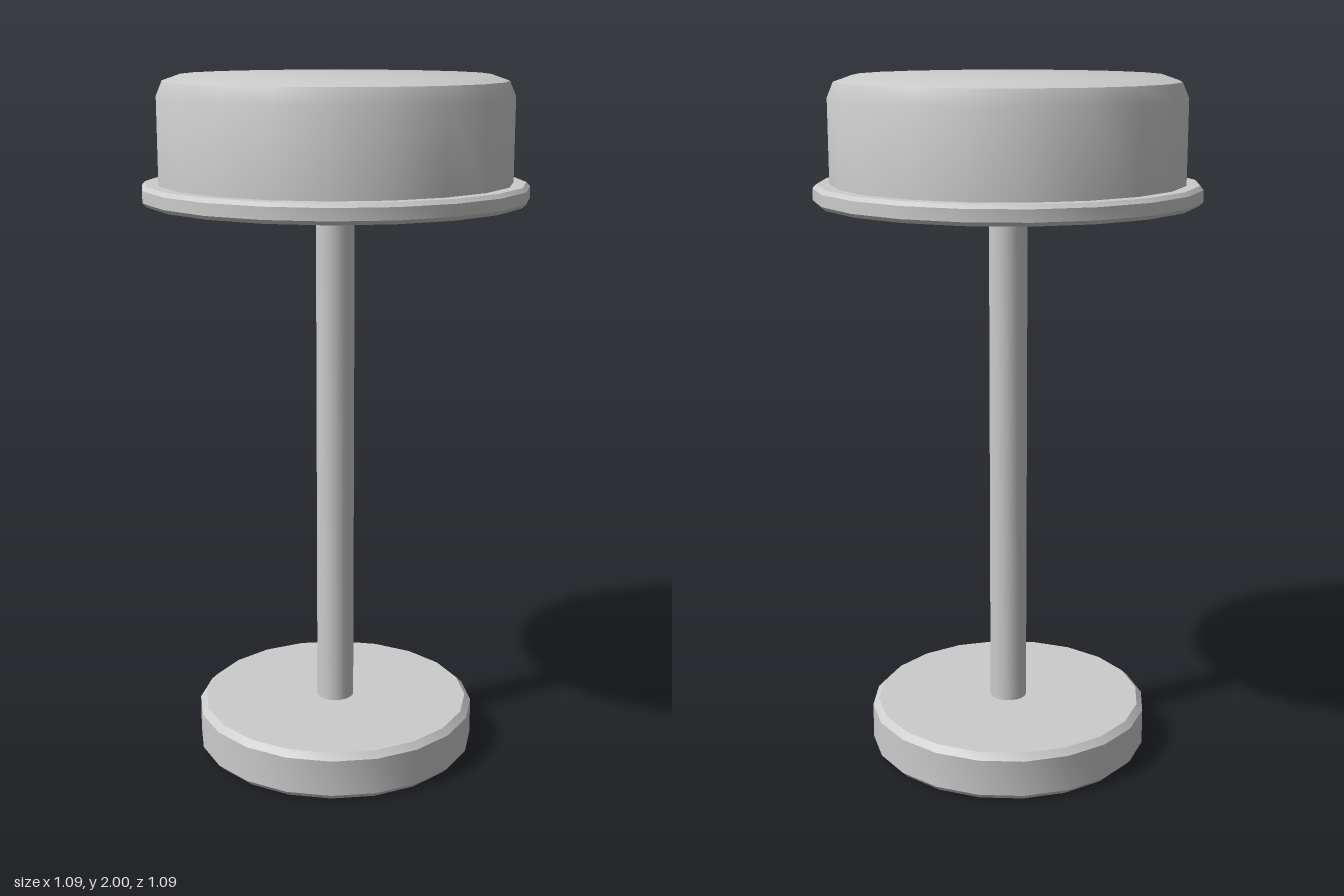
import * as THREE from 'three';
import { toCreasedNormals } from 'three/addons/utils/BufferGeometryUtils.js';

const SIDES = 20;

export function createModel() {
  const stool = new THREE.Group();
  stool.name = 'stool';
  const material = new THREE.MeshStandardMaterial({ color: 0xcccccc });

  // Turned part from a [radius, height] profile, listed bottom to top
  function turned(name, profile) {
    const points = profile.map(([r, y]) => new THREE.Vector2(r, y));
    const geometry = toCreasedNormals(new THREE.LatheGeometry(points, SIDES), Math.PI / 6);
    const mesh = new THREE.Mesh(geometry, material);
    mesh.name = name;
    stool.add(mesh);
  }

  // Disc with small bevels on both rims
  function bevelledDisc(name, radius, bottom, top, bevel) {
    turned(name, [
      [0, bottom], [radius - bevel, bottom], [radius, bottom + bevel],
      [radius, top - bevel], [radius - bevel, top], [0, top],
    ]);
  }

  bevelledDisc('base', 0.415, 0, 0.143, 0.018);
  turned('pole', [[0, 0.1], [0.055, 0.1], [0.055, 1.68], [0, 1.68]]);
  bevelledDisc('seatRim', 0.547, 1.65, 1.705, 0.011);

  // Padded cushion with a softened top edge
  turned('cushion', [
    [0, 1.68], [0.5, 1.68], [0.5, 1.94], [0.482, 1.982], [0.43, 2], [0, 2],
  ]);

  return stool;
}
